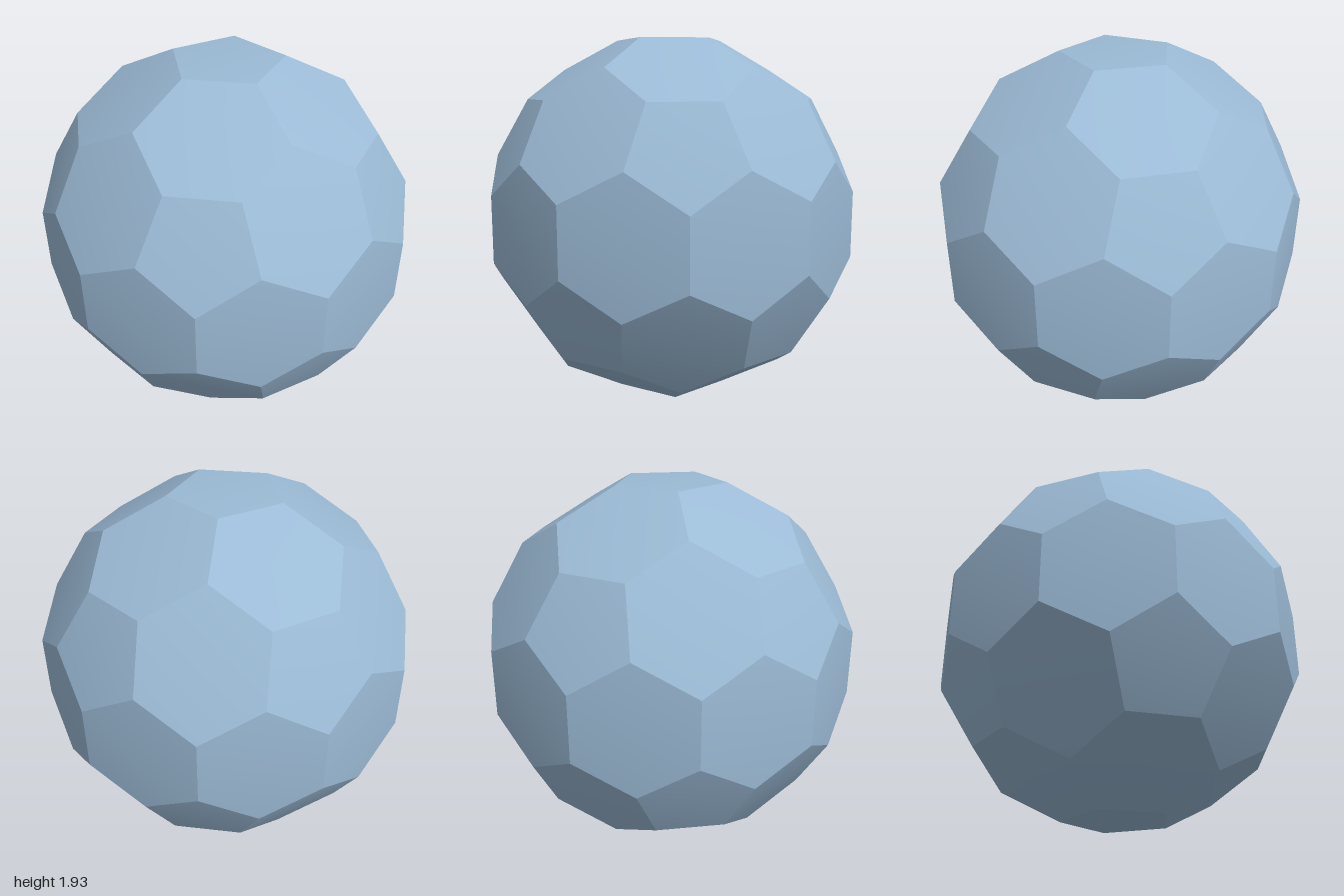
import * as THREE from 'three';

const FACE_DIST = 0.951;              // centre to hexagon faces
const TIP = FACE_DIST * 1.17557;      // five-way corners before they are cut off
const TRI = FACE_DIST * 1.07047;      // three-way corners
const CUT = 0.4874;                   // cut position that makes all edges equal
const SOFTNESS = 0.2;                 // slight bulge of the shading on each panel

// Twelve five-fold axes: two poles and two rings of five
function fiveFoldAxes() {
  const axes = [new THREE.Vector3(0, 1, 0), new THREE.Vector3(0, -1, 0)];
  const y = 1 / Math.sqrt(5), r = 2 / Math.sqrt(5);
  for (let i = 0; i < 5; i++) {
    const a = (i * 2 * Math.PI) / 5;
    const v = new THREE.Vector3(r * Math.cos(a), y, r * Math.sin(a));
    axes.push(v, v.clone().negate());
  }
  return axes;
}

// Flat convex panel: a fan around its centre, corners ordered counter-clockwise
function panel(corners, material, name) {
  const centre = new THREE.Vector3();
  corners.forEach((c) => centre.addScaledVector(c, 1 / corners.length));
  const n = centre.clone().normalize();
  const u = corners[0].clone().sub(centre).normalize();
  const w = n.clone().cross(u);
  const angle = (p) => {
    const d = p.clone().sub(centre);
    return Math.atan2(d.dot(w), d.dot(u));
  };
  const ring = [...corners].sort((a, b) => angle(a) - angle(b));
  const positions = [...centre.toArray()];
  const normals = [...n.toArray()];
  const index = [];
  ring.forEach((p, i) => {
    positions.push(...p.toArray());
    normals.push(...n.clone().lerp(p.clone().normalize(), SOFTNESS).normalize().toArray());
    index.push(0, i + 1, ((i + 1) % ring.length) + 1);
  });
  const geometry = new THREE.BufferGeometry();
  geometry.setAttribute('position', new THREE.Float32BufferAttribute(positions, 3));
  geometry.setAttribute('normal', new THREE.Float32BufferAttribute(normals, 3));
  geometry.setIndex(index);
  const mesh = new THREE.Mesh(geometry, material);
  mesh.name = name;
  return mesh;
}

export function createModel() {
  const paleBlue = new THREE.MeshStandardMaterial({ color: 0x9bbad5 });
  paleBlue.name = 'paleBlue';

  const axes = fiveFoldAxes();
  const adjacent = (a, b) => a !== b && a.dot(b) > 0.4;
  const triCorner = (a, b, c) => a.clone().add(b).add(c).setLength(TRI);
  const cutCorner = (axis, tri) => axis.clone().multiplyScalar(TIP).lerp(tri, CUT);

  const ball = new THREE.Group();
  ball.name = 'facetedBall';
  ball.position.y = axes[0].dot(cutCorner(axes[0], triCorner(axes[0], axes[2], axes[4])));

  axes.forEach((a, i) => {
    const pentagon = [];
    axes.forEach((b, j) => {
      if (!adjacent(a, b)) return;
      const shared = axes.filter((c) => adjacent(a, c) && adjacent(b, c));
      const tris = shared.map((c) => triCorner(a, b, c));
      // Each three-way corner is met from two neighbours; keep it once
      shared.forEach((c, k) => {
        if (axes.indexOf(c) > j) pentagon.push(cutCorner(a, tris[k]));
      });
      // Hexagon between two neighbouring pentagons
      if (j > i) {
        const corners = tris.flatMap((t) => [t, cutCorner(a, t), cutCorner(b, t)]);
        ball.add(panel(corners, paleBlue, 'hexagonPanel'));
      }
    });
    ball.add(panel(pentagon, paleBlue, 'pentagonPanel'));
  });

  const model = new THREE.Group();
  model.name = 'facetedSphere';
  model.add(ball);
  return model;
}
